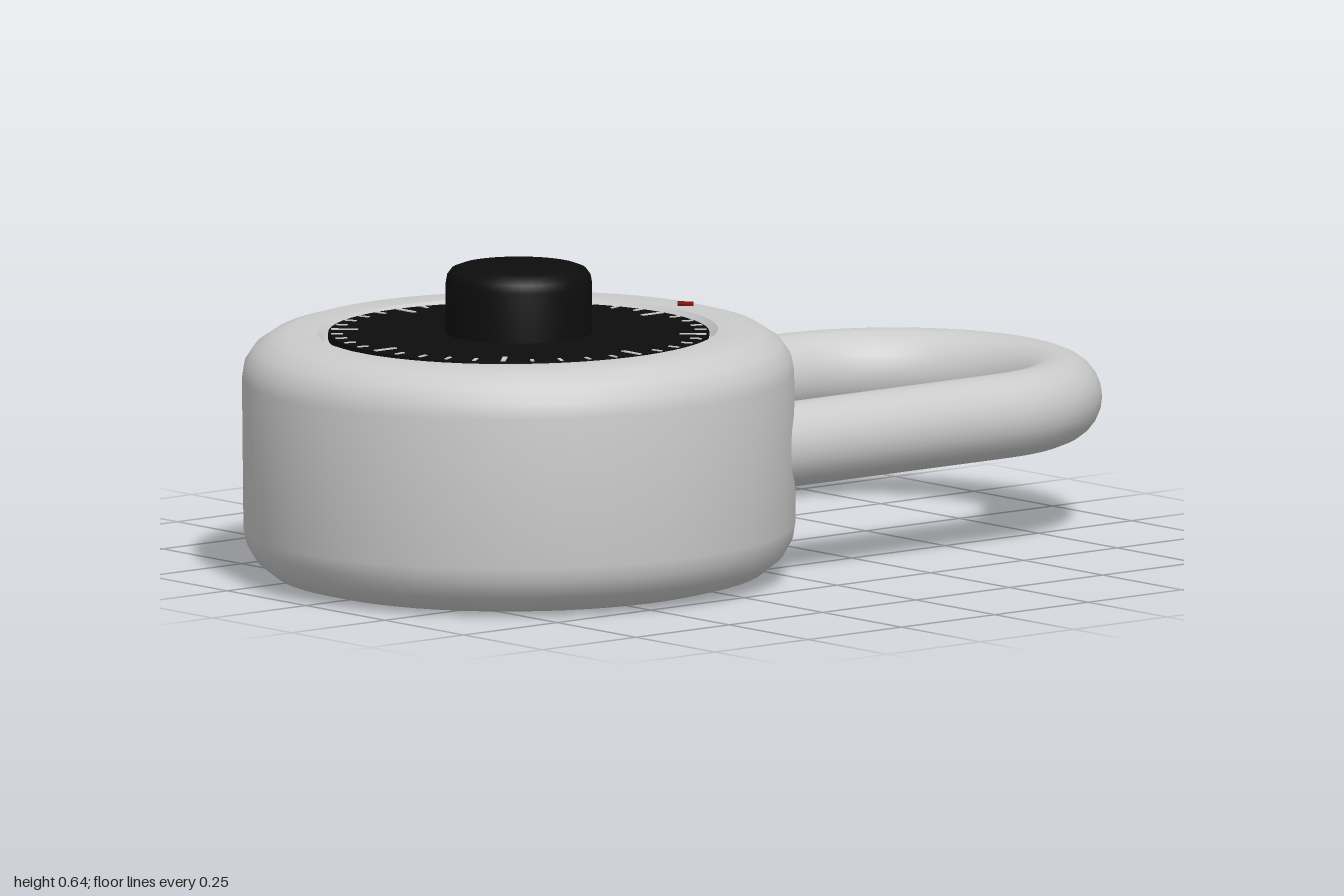
import * as THREE from 'three';
import { toCreasedNormals } from 'three/addons/utils/BufferGeometryUtils.js';

const CENTER_Z = 0.43; // axis of the case and dial
const DIAL_Y = 0.508;

const material = (color) => new THREE.MeshStandardMaterial({ color });

function addMesh(parent, name, geometry, mat) {
  const mesh = new THREE.Mesh(geometry, mat);
  mesh.name = name;
  parent.add(mesh);
  return mesh;
}

function lathe(points, segments) {
  const profile = points.map(([r, y]) => new THREE.Vector2(r, y));
  return toCreasedNormals(new THREE.LatheGeometry(profile, segments), 0.7);
}

export function createModel() {
  const lock = new THREE.Group();
  lock.name = 'padlock';
  const grey = material(0xcccccc);
  const black = material(0x0d0d0d);
  const red = material(0x8a1010);

  // Round case with soft edges and a shallow dial recess, leaning very slightly
  const body = new THREE.Group();
  body.name = 'body';
  body.position.set(0, 0.261, CENTER_Z);
  body.rotation.x = 0.013;
  lock.add(body);
  addMesh(body, 'case', lathe([
    [0, -0.255], [0.46, -0.255], [0.505, -0.243], [0.54, -0.215], [0.56, -0.18], [0.565, -0.15],
    [0.565, 0.16], [0.56, 0.19], [0.54, 0.22], [0.505, 0.243], [0.47, 0.253],
    [0.41, 0.25], [0.396, 0.236], [0, 0.236],
  ], 64), grey);

  // Red diamond index mark on the rim
  const marker = addMesh(body, 'indexMark', new THREE.CylinderGeometry(0.025, 0.025, 0.006, 4), red);
  marker.position.set(0, 0.253, -0.45);
  marker.scale.z = 0.85;

  // Dial plate and its graduations
  const dial = new THREE.Group();
  dial.name = 'dial';
  dial.position.z = CENTER_Z;
  lock.add(dial);
  const plate = addMesh(dial, 'dialPlate', new THREE.CylinderGeometry(0.39, 0.39, 0.03, 64), black);
  plate.position.y = DIAL_Y - 0.015;

  for (let i = 0; i < 40; i++) {
    const major = i % 5 === 0;
    const length = major ? 0.055 : 0.024;
    const tick = addMesh(dial, major ? 'majorTick' : 'minorTick',
      new THREE.BoxGeometry(major ? 0.01 : 0.007, 0.004, length), grey);
    const angle = (i / 40) * Math.PI * 2;
    const r = 0.385 - length / 2;
    tick.position.set(Math.sin(angle) * r, DIAL_Y, -Math.cos(angle) * r);
    tick.rotation.y = -angle;
  }

  // Turning knob
  addMesh(dial, 'knob', lathe([
    [0.15, 0.49], [0.15, 0.61], [0.147, 0.627], [0.138, 0.639], [0.122, 0.645], [0, 0.645],
  ], 48), black);

  // U-shaped shackle whose legs run into the case
  const legX = 0.341, bendZ = -0.572, shackleY = 0.272;
  const path = new THREE.CurvePath();
  const at = (x, z) => new THREE.Vector3(x, shackleY, z);
  const k = 0.5523 * legX; // quarter-circle handle length
  path.add(new THREE.LineCurve3(at(-legX, 0.22), at(-legX, bendZ)));
  path.add(new THREE.CubicBezierCurve3(at(-legX, bendZ), at(-legX, bendZ - k),
    at(-k, bendZ - legX), at(0, bendZ - legX)));
  path.add(new THREE.CubicBezierCurve3(at(0, bendZ - legX), at(k, bendZ - legX),
    at(legX, bendZ - k), at(legX, bendZ)));
  path.add(new THREE.LineCurve3(at(legX, bendZ), at(legX, 0.22)));
  addMesh(lock, 'shackle', new THREE.TubeGeometry(path, 96, 0.087, 24, false), grey);

  return lock;
}
